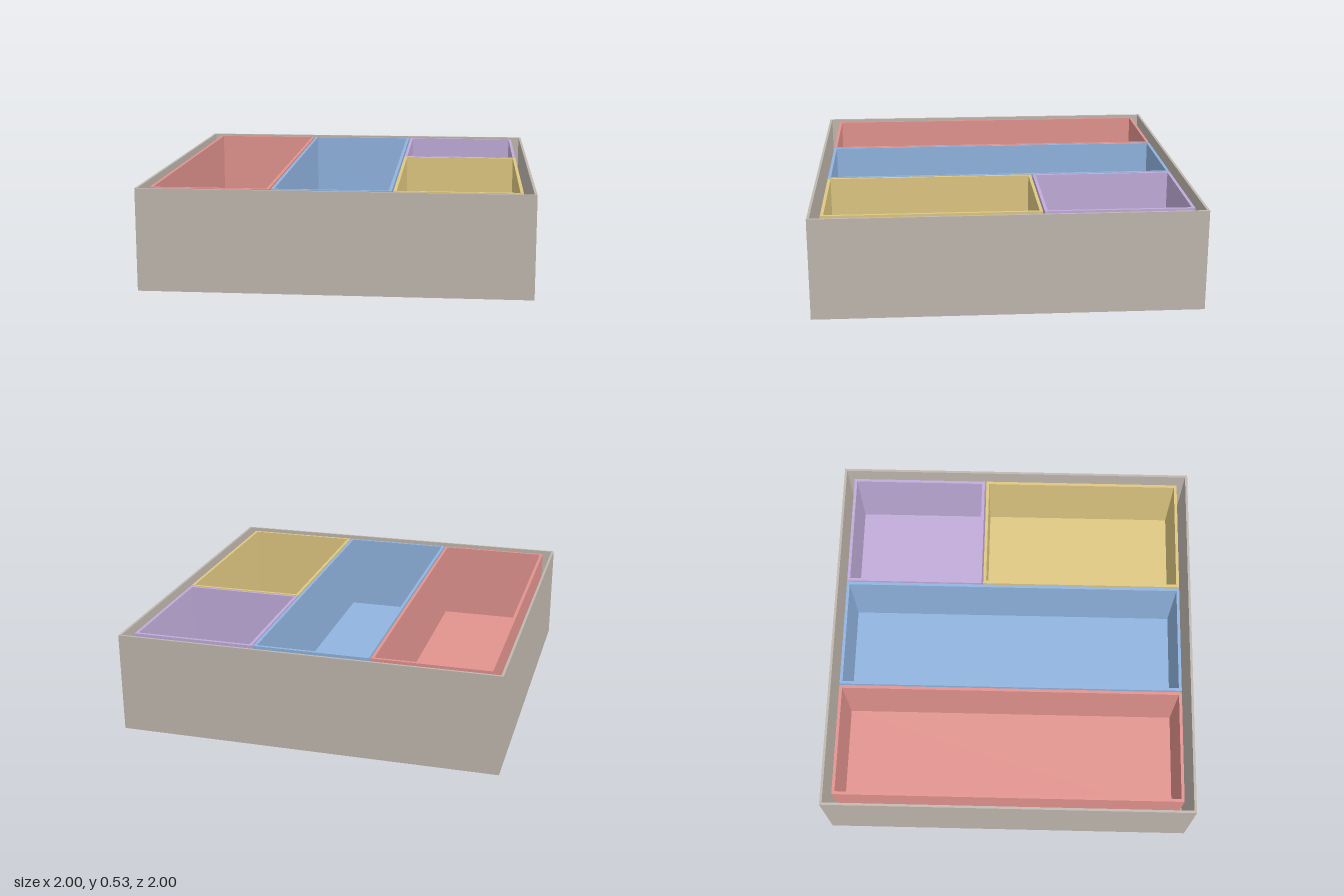
import * as THREE from 'three';

const BOX_WALL = 0.013;
const TRAY_WALL = 0.016;

const material = (name, color) => {
  const m = new THREE.MeshStandardMaterial({ color });
  m.name = name;
  return m;
};

// Rectangle outline, used for both the outer edge and the hole of a wall
function rectangle(PathType, w, d) {
  const x = w / 2, y = d / 2;
  return new PathType([[-x, -y], [x, -y], [x, y], [-x, y]].map(([a, b]) => new THREE.Vector2(a, b)));
}

// Open-topped box between two corners in plan: a ring of walls with a floor set inside
function openBox(name, mat, wall, [x0, x1], [z0, z1], [y0, y1]) {
  const w = x1 - x0, d = z1 - z0;
  const group = new THREE.Group();
  group.name = name;
  group.position.set((x0 + x1) / 2, y0, (z0 + z1) / 2);

  const outline = rectangle(THREE.Shape, w, d);
  outline.holes.push(rectangle(THREE.Path, w - 2 * wall, d - 2 * wall));
  const ring = new THREE.ExtrudeGeometry(outline, { depth: y1 - y0, bevelEnabled: false });
  ring.rotateX(-Math.PI / 2);
  const walls = new THREE.Mesh(ring, mat);
  walls.name = name + 'Walls';

  const floor = new THREE.Mesh(new THREE.BoxGeometry(w - 2 * wall, wall, d - 2 * wall), mat);
  floor.name = name + 'Floor';
  floor.position.y = wall / 2;

  group.add(walls, floor);
  return group;
}

export function createModel() {
  const model = new THREE.Group();
  model.name = 'storageBox';

  const grey = material('warm grey', 0xc0b8af);
  const green = material('sage green', 0x97b4a4);
  const red = material('soft red', 0xe2938e);
  const blue = material('soft blue', 0x90b4e0);
  const purple = material('soft purple', 0xc1acda);
  const yellow = material('soft yellow', 0xdfc882);

  // Outer box
  model.add(openBox('outerBox', grey, BOX_WALL, [-1, 1], [-1, 1], [0, 0.53]));

  // Board lying on the floor of the box, under the trays
  const boardTop = 0.079;
  const board = new THREE.Mesh(new THREE.BoxGeometry(1.935, boardTop - BOX_WALL, 1.935), green);
  board.name = 'board';
  board.position.y = (boardTop + BOX_WALL) / 2;
  model.add(board);

  // Four trays standing on the board
  const trays = [
    ['redTray', red, [-0.94, -0.329], [-0.94, 0.937]],
    ['blueTray', blue, [-0.321, 0.286], [-0.94, 0.937]],
    ['purpleTray', purple, [0.294, 0.937], [-0.94, -0.179]],
    ['yellowTray', yellow, [0.294, 0.937], [-0.17, 0.937]],
  ];
  for (const [name, mat, xs, zs] of trays) {
    model.add(openBox(name, mat, TRAY_WALL, xs, zs, [boardTop, 0.525]));
  }

  return model;
}
